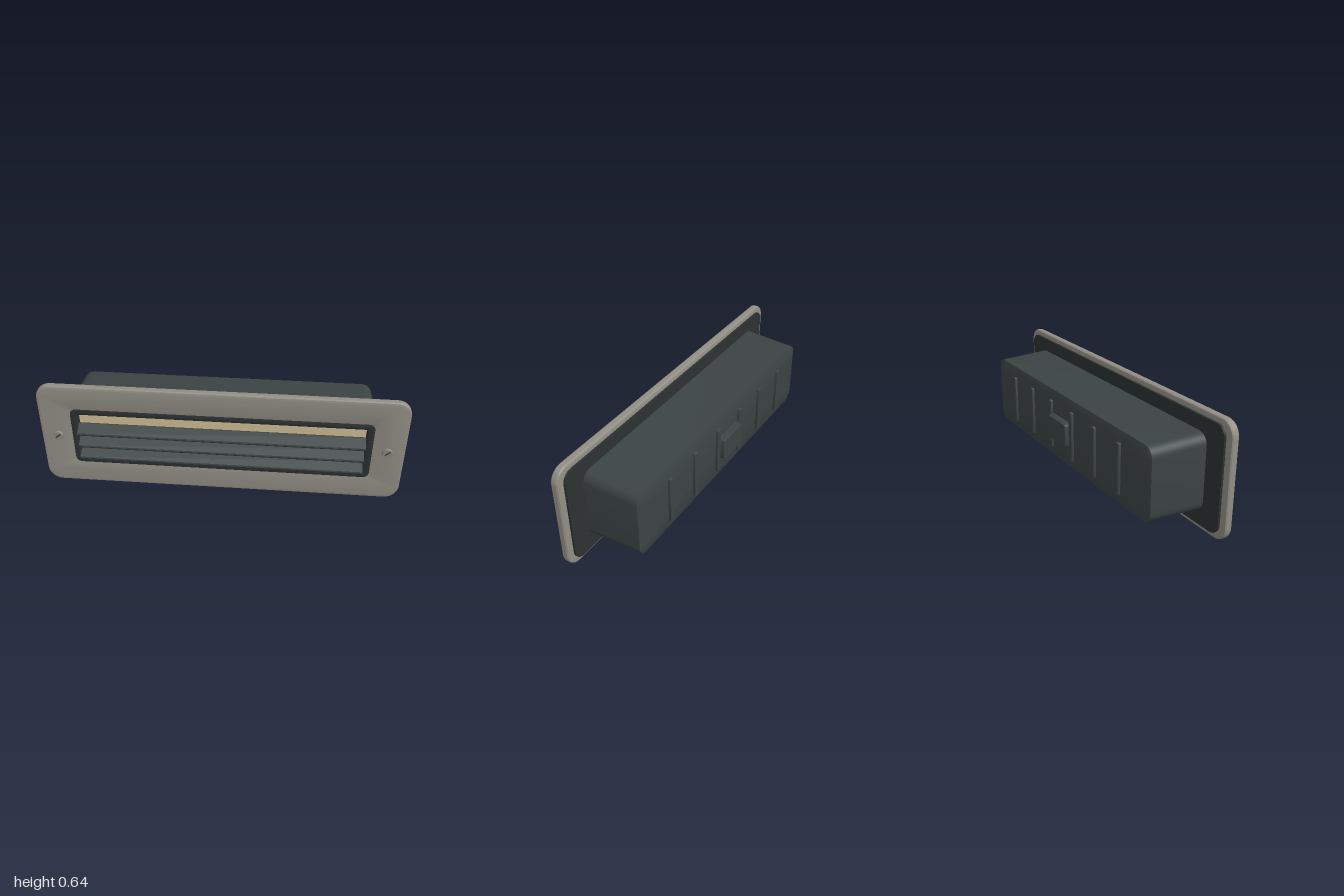
import * as THREE from 'three';
import { toCreasedNormals } from 'three/addons/utils/BufferGeometryUtils.js';

const CY = 0.319; // height of the fitting's centre line

function roundedRect(hw, hh, r, Type = THREE.Shape) {
  const s = new Type();
  s.absarc(hw - r, hh - r, r, 0, Math.PI / 2);
  s.absarc(-hw + r, hh - r, r, Math.PI / 2, Math.PI);
  s.absarc(-hw + r, -hh + r, r, Math.PI, Math.PI * 1.5);
  s.absarc(hw - r, -hh + r, r, Math.PI * 1.5, Math.PI * 2);
  s.closePath();
  return s;
}

// Closed solid through rounded-rectangle sections [z, halfWidth, halfHeight, radius], front to back
function loft(sections, seg = 8) {
  const pos = [], idx = [], n = 4 * (seg + 1);
  for (const [z, hw, hh, r] of sections) {
    for (let q = 0; q < 4; q++) {
      const cx = (q === 0 || q === 3 ? 1 : -1) * (hw - r);
      const cy = (q < 2 ? 1 : -1) * (hh - r);
      for (let i = 0; i <= seg; i++) {
        const a = (q + i / seg) * Math.PI / 2;
        pos.push(cx + r * Math.cos(a), cy + r * Math.sin(a), z);
      }
    }
  }
  const last = sections.length - 1, front = pos.length / 3, back = front + 1;
  pos.push(0, 0, sections[0][0], 0, 0, sections[last][0]);
  for (let i = 0; i < n; i++) {
    const j = (i + 1) % n;
    for (let k = 0; k < last; k++) {
      const a = k * n + i, b = k * n + j, c = b + n, d = a + n;
      idx.push(a, d, b, b, d, c);
    }
    idx.push(front, i, j, back, last * n + j, last * n + i);
  }
  const g = new THREE.BufferGeometry();
  g.setAttribute('position', new THREE.Float32BufferAttribute(pos, 3));
  g.setIndex(idx);
  return toCreasedNormals(g, 0.5);
}

// Bevelled frame between z0 and z1 with a rounded opening
function frame(outer, inner, z0, z1, bevelT, bevelS) {
  const shape = roundedRect(...outer);
  shape.holes.push(roundedRect(...inner, THREE.Path));
  const g = new THREE.ExtrudeGeometry(shape, {
    depth: z1 - z0 - 2 * bevelT, bevelEnabled: true, bevelThickness: bevelT,
    bevelSize: bevelS, bevelOffset: -bevelS, bevelSegments: 2, curveSegments: 8,
  });
  g.translate(0, 0, z0 + bevelT);
  return toCreasedNormals(g, 0.5);
}

export function createModel() {
  const mat = (name, color) => {
    const m = new THREE.MeshStandardMaterial({ color });
    m.name = name;
    return m;
  };
  const plateMat = mat('warm grey metal', 0x918e84);
  const housingMat = mat('charcoal', 0x3c4343);
  const sealMat = mat('dark rubber', 0x2d3131);
  const lensMat = mat('cream diffuser', 0xd2bd96);
  const screwMat = mat('screw metal', 0x8a887f);

  const group = new THREE.Group();
  group.name = 'recessedWallLight';
  const add = (name, geo, material, x = 0, y = CY, z = 0) => {
    const m = new THREE.Mesh(geo, material);
    m.name = name;
    m.position.set(x, y, z);
    group.add(m);
    return m;
  };

  // Face plate, rim and seal
  add('facePlate', frame([1, 0.318, 0.08], [0.81, 0.166, 0.025], 0.138, 0.183, 0.01, 0.014), plateMat);
  add('openingRim', frame([0.825, 0.18, 0.035], [0.785, 0.143, 0.015], 0.134, 0.1845, 0.006, 0.006), sealMat);
  add('gasket', loft([[0.14, 0.96, 0.288, 0.06], [0.126, 0.96, 0.288, 0.06]]), sealMat);

  // Glowing diffuser behind the louvres
  add('diffuser', new THREE.BoxGeometry(1.58, 0.3, 0.012), lensMat, 0, CY + 0.002, 0.139);

  // Recessed tapered housing
  add('housing', loft([
    [0.13, 0.842, 0.211, 0.06], [-0.182, 0.828, 0.201, 0.06], [-0.195, 0.793, 0.164, 0.035],
  ]), housingMat);

  // Ribs and cable block on the back
  for (const x of [0.115, 0.345, 0.575]) {
    for (const s of [1, -1]) {
      add('backRib', loft([[-0.19, 0.016, 0.144, 0.008], [-0.207, 0.015, 0.143, 0.008],
        [-0.21, 0.012, 0.14, 0.006]], 3), housingMat, s * x);
    }
  }
  add('cableBlock', loft([[-0.19, 0.102, 0.071, 0.018], [-0.229, 0.099, 0.068, 0.018],
    [-0.232, 0.095, 0.065, 0.015]], 4), housingMat, 0, CY + 0.001);

  // Three angled louvres; profile drawn along local x (length) and y (thickness)
  const L = 0.038, T = 0.011, c = 0.006;
  const profile = new THREE.Shape([
    [-L, -T + c], [-L + c, -T], [L - c, -T], [L, -T + c],
    [L, T - c], [L - c, T], [-L + c, T], [-L, T - c],
  ].map(([x, y]) => new THREE.Vector2(x, y)));
  const slat = new THREE.ExtrudeGeometry(profile, { depth: 1.56, bevelEnabled: false });
  slat.translate(0, 0, -0.78);
  slat.rotateY(-Math.PI / 2); // local x becomes +z
  slat.rotateX(Math.PI / 6); // front edge tips down
  for (const y of [0.382, 0.302, 0.222]) add('louvre', slat, housingMat, 0, y, 0.201);

  // Slotted fixing screws
  for (const s of [1, -1]) {
    const head = new THREE.CylinderGeometry(0.025, 0.029, 0.012, 24);
    head.rotateX(Math.PI / 2);
    add('screwHead', head, screwMat, s * 0.905, CY, 0.187);
    const slot = add('screwSlot', new THREE.BoxGeometry(0.036, 0.007, 0.002), sealMat, s * 0.905, CY, 0.1928);
    slot.rotation.z = 0.65;
  }
  return group;
}
